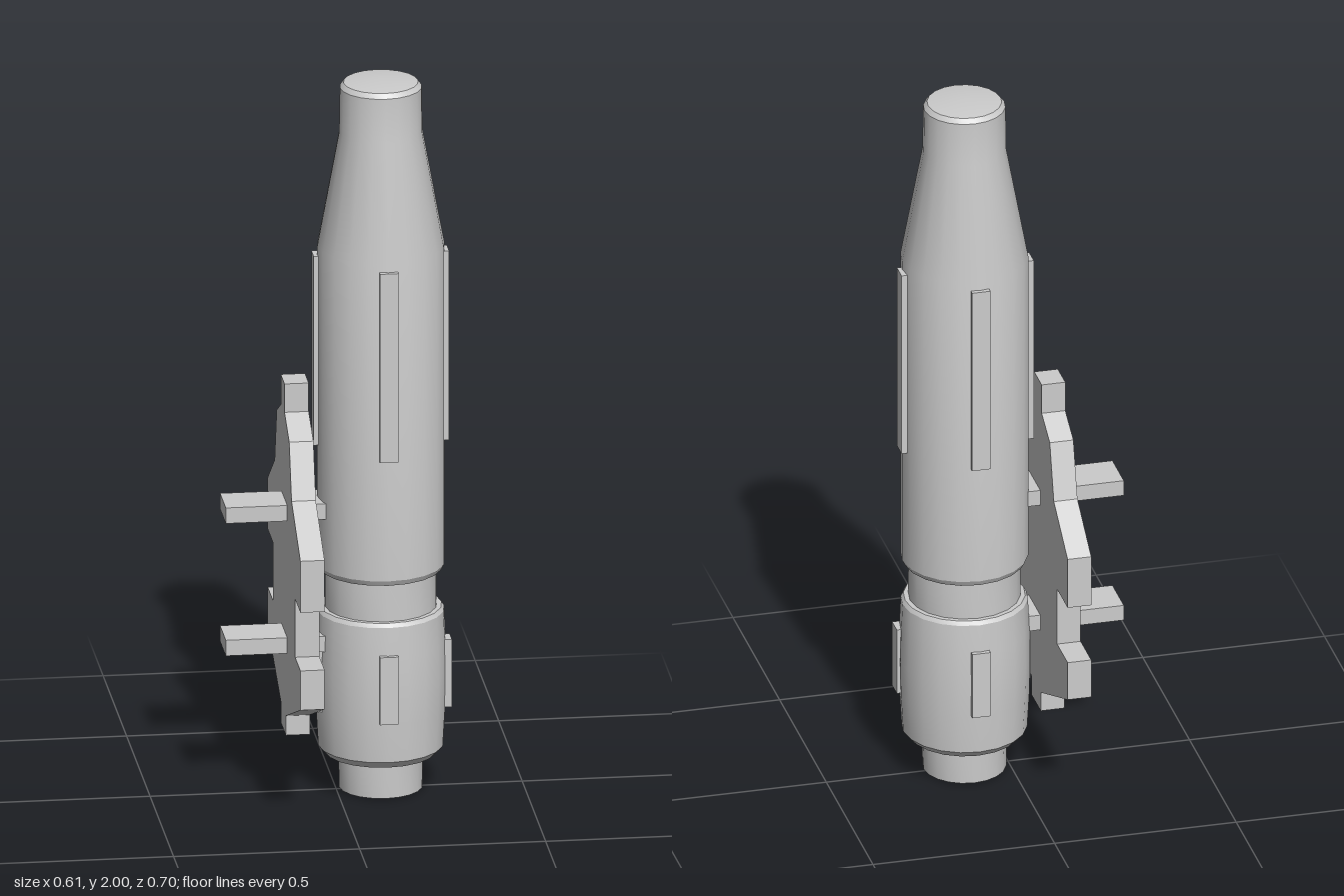
import * as THREE from 'three';
import { toCreasedNormals } from 'three/addons/utils/BufferGeometryUtils.js';

const AXIS_X = 0.12; // the barrel stands off-centre

export function createModel() {
  const model = new THREE.Group();
  model.name = 'barrelWithBracket';
  const material = new THREE.MeshStandardMaterial({ color: 0xcccccc });

  function add(name, geometry, x, y, z, parent = model) {
    const mesh = new THREE.Mesh(geometry, material);
    mesh.name = name;
    mesh.position.set(x, y, z);
    parent.add(mesh);
    return mesh;
  }

  // Turned barrel: foot, swollen lower sleeve, groove, main tube, tapered neck, low dome
  const profile = [
    [0, 0], [0.112, 0.005], [0.114, 0.105], [0.15, 0.105], [0.168, 0.125],
    [0.174, 0.23], [0.176, 0.33], [0.174, 0.42], [0.17, 0.505], [0.163, 0.516],
    [0.15, 0.516], [0.15, 0.622], [0.163, 0.622], [0.171, 0.637],
    [0.171, 1.53], [0.112, 1.85], [0.11, 1.975], [0.1, 1.988], [0, 2],
  ].map(([r, y]) => new THREE.Vector2(r, y));
  add('barrel', toCreasedNormals(new THREE.LatheGeometry(profile, 20), 0.45), AXIS_X, 0, 0);

  // Four upper and four lower ribs around the barrel
  function addRibs(name, bottom, top, outer, sideOffset) {
    for (let i = 0; i < 4; i++) {
      const angle = (i * Math.PI) / 2;
      const pivot = new THREE.Group();
      pivot.name = name;
      pivot.position.x = AXIS_X;
      pivot.rotation.y = angle;
      // the ribs on the two sides sit slightly off the axis
      pivot.position.z = i % 2 ? sideOffset : 0;
      add(name + 'Bar', new THREE.BoxGeometry(0.05, top - bottom, 0.04),
        0, (top + bottom) / 2, outer - 0.02, pivot);
      model.add(pivot);
    }
  }
  addRibs('upperRib', 0.975, 1.507, 0.182, -0.011);
  addRibs('lowerRib', 0.237, 0.427, 0.184, 0.032);

  // Notched bracket plate, drawn as (z, y)
  const outline = [
    [-0.07, 1.15], [0.01, 1.15], [0.01, 1.07], [0.11, 1.02], [0.16, 0.87],
    [0.348, 0.765], [0.348, 0.62], [0.235, 0.62], [0.235, 0.456], [0.348, 0.456],
    [0.348, 0.345], [0.04, 0.225], [0.04, 0.17], [-0.06, 0.17], [-0.06, 0.225],
    [-0.348, 0.345], [-0.348, 0.456], [-0.235, 0.456], [-0.235, 0.62],
    [-0.348, 0.62], [-0.348, 0.765], [-0.2, 0.865], [-0.157, 1.02], [-0.07, 1.065],
  ].map(([z, y]) => new THREE.Vector2(z, y));
  const plate = new THREE.ExtrudeGeometry(new THREE.Shape(outline), { depth: 0.065, bevelEnabled: false });
  plate.rotateY(-Math.PI / 2);
  add('bracketPlate', plate, -0.075, 0, 0);

  // Two flat pegs passing through the plate into the barrel
  for (const [name, y] of [['upperPeg', 0.805], ['lowerPeg', 0.432]]) {
    add(name, new THREE.BoxGeometry(0.27, 0.044, 0.122), -0.17, y, 0.006);
  }

  return model;
}
